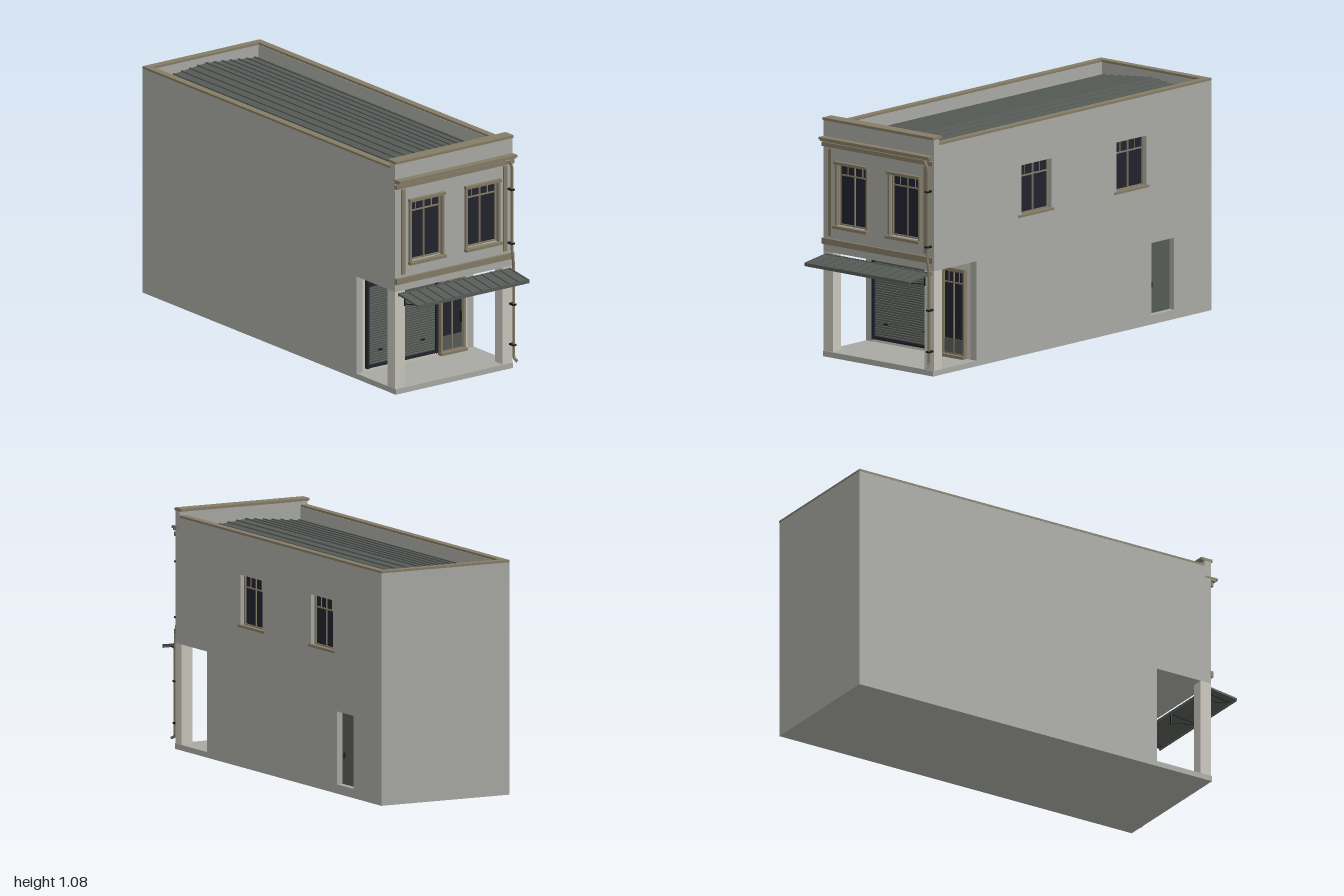
import * as THREE from 'three';

const mat = (name, color) => {
  const m = new THREE.MeshStandardMaterial({ color });
  m.name = name;
  return m;
};

export function createModel() {
  const wall = mat('grey render', 0xa9a9a4);
  const cream = mat('cream plaster', 0xc9c6bc);
  const trim = mat('tan trim', 0x857c66);
  const metal = mat('grey green metal', 0x565b57);
  const glass = mat('dark glass', 0x22222e);
  const black = mat('black iron', 0x1a1a1c);

  const model = new THREE.Group();
  model.name = 'shopHouse';

  const add = (name, geo, material, parent = model) => {
    const m = new THREE.Mesh(geo, material);
    m.name = name;
    parent.add(m);
    return m;
  };
  // Box given by its limits on each axis
  const box = (name, material, x0, x1, y0, y1, z0, z1, parent = model) => {
    const m = add(name, new THREE.BoxGeometry(x1 - x0, y1 - y0, z1 - z0), material, parent);
    m.position.set((x0 + x1) / 2, (y0 + y1) / 2, (z0 + z1) / 2);
    return m;
  };
  const poly = pts => new THREE.Shape(pts.map(p => new THREE.Vector2(...p)));
  const rect = (a0, a1, b0, b1) => [[a0, b0], [a1, b0], [a1, b1], [a0, b1]];
  const extrude = (shape, depth) => new THREE.ExtrudeGeometry(shape, { depth, bevelEnabled: false });

  // Glazed panel facing +z: frame, centre mullion, transom and split top lights
  const glazing = (name, w, h, transom, panel = 0) => {
    const g = new THREE.Group();
    g.name = name;
    const t = 0.006, d = 0.01;
    box('glass', glass, -w / 2, w / 2, 0, h, -0.004, 0.002, g);
    for (const s of [-1, 1]) {
      box('frameSide', trim, s * w / 2 - t, s * w / 2 + t, 0, h, 0, d, g);
      box('topMullion', trim, s * w / 4 - 0.0015, s * w / 4 + 0.0015, transom, h, 0, 0.006, g);
    }
    box('frameBottom', trim, -w / 2, w / 2, 0, t, 0, d, g);
    box('frameTop', trim, -w / 2, w / 2, h - t, h, 0, d, g);
    box('mullion', trim, -0.003, 0.003, 0, h, 0, 0.008, g);
    box('transom', trim, -w / 2, w / 2, transom - 0.003, transom + 0.003, 0, 0.008, g);
    if (panel) box('kickPanel', metal, -w / 2 + t, w / 2 - t, t, panel, 0, 0.007, g);
    model.add(g);
    return g;
  };

  // Main volume, rear wall and plinth
  box('groundFloorCore', wall, -0.29, 0.29, 0, 0.475, -0.965, 0.565);
  box('upperFloorCore', wall, -0.29, 0.29, 0.475, 0.97, -0.965, 0.82);
  box('rearWall', wall, -0.325, 0.325, 0, 1.04, -1, -0.965);
  box('porchFloor', wall, -0.325, 0.325, 0, 0.025, 0.565, 0.86);

  // Side walls, cut back around the open porch; the left one has openings
  const sideWindows = [0.17, -0.465], doorZ = -0.675;
  for (const s of [-1, 1]) {
    const shape = poly([[0.965, 0], [0.965, 1.04], [-0.82, 1.04], [-0.82, 0.475], [-0.57, 0.475], [-0.57, 0]]);
    if (s > 0) {
      for (const z of sideWindows) shape.holes.push(poly(rect(-z - 0.1, -z + 0.1, 0.635, 0.86)));
      shape.holes.push(poly(rect(-doorZ - 0.075, -doorZ + 0.075, 0.042, 0.368)));
    }
    const m = add('sideWall', extrude(shape, 0.035), wall);
    m.rotation.y = Math.PI / 2;
    m.position.x = s > 0 ? 0.29 : -0.325;
    box('porchPillar', cream, s * 0.2975 - 0.0275, s * 0.2975 + 0.0275, 0.025, 0.475, 0.8, 0.855);
    box('sideCoping', trim, s * 0.309 - 0.0165, s * 0.309 + 0.0165, 1.04, 1.05, -1, 0.82);
  }
  box('rearCoping', trim, -0.3255, 0.3255, 1.04, 1.0502, -1, -0.965);
  for (const z of sideWindows) {
    const g = glazing('sideWindow', 0.2, 0.225, 0.17);
    g.rotation.y = Math.PI / 2;
    g.position.set(0.296, 0.635, z);
    box('sideSill', trim, 0.3, 0.329, 0.625, 0.636, z - 0.118, z + 0.118);
  }
  box('sideDoor', metal, 0.288, 0.297, 0.042, 0.368, doorZ - 0.075, doorZ + 0.075);
  box('sideDoorHandle', black, 0.295, 0.306, 0.16, 0.185, -0.629, -0.623);

  // Front upper wall with two window openings
  const facade = poly(rect(-0.325, 0.325, 0.475, 1.07));
  for (const x of [-0.155, 0.155]) facade.holes.push(poly(rect(x - 0.088, x + 0.088, 0.603, 0.88)));
  add('facade', extrude(facade, 0.035), wall).position.z = 0.82;
  for (const x of [-0.155, 0.155]) {
    glazing('frontWindow', 0.176, 0.277, 0.227).position.set(x, 0.603, 0.832);
    box('windowHead', trim, x - 0.098, x + 0.098, 0.88, 0.893, 0.85, 0.873);
    box('windowSill', trim, x - 0.1, x + 0.1, 0.59, 0.603, 0.85, 0.878);
    for (const s of [-1, 1])
      box('windowArchitrave', trim, x + s * 0.09 - 0.005, x + s * 0.09 + 0.005, 0.603, 0.88, 0.85, 0.865);
  }
  for (const x of [-0.283, 0.281]) box('facadeStrip', trim, x - 0.009, x + 0.009, 0.55, 0.945, 0.85, 0.863);
  box('floorBand', trim, -0.325, 0.325, 0.51, 0.537, 0.85, 0.868);
  box('upperBand', trim, -0.325, 0.325, 0.952, 0.971, 0.85, 0.868);
  box('corniceBed', trim, -0.325, 0.325, 0.977, 0.985, 0.85, 0.88);
  box('cornice', trim, -0.325, 0.325, 0.985, 0.996, 0.82, 0.89);
  box('parapetCap', trim, -0.326, 0.326, 1.068, 1.08, 0.803, 0.862);

  // Low gabled roof with raised seams running front to back
  const roofY = x => 1.012 - Math.abs(x) * 0.1;
  const roofPts = [[-0.292, 0.96], [0.292, 0.96], [0.292, roofY(0.292)]];
  for (let i = 6; i >= -6; i--) {
    const x = i * 0.045;
    for (const [dx, dy] of [[0.004, 0], [0.003, 0.005], [-0.003, 0.005], [-0.004, 0]])
      roofPts.push([x + dx, roofY(x + dx) + dy]);
  }
  roofPts.push([-0.292, roofY(0.292)]);
  add('roof', extrude(poly(roofPts), 1.765), metal).position.z = -0.965;

  // Recessed shopfront wall
  box('shopWall', cream, -0.29, 0.29, 0.025, 0.475, 0.56, 0.57);

  // Roller shutter with ridged slats
  const slats = 34, y0 = 0.052, step = (0.42 - y0) / slats;
  const slatPts = [[0, 0.42], [0, y0]];
  for (let i = 0; i < slats; i++) {
    const y = y0 + i * step;
    slatPts.push([0.004, y], [0.009, y + step * 0.3], [0.009, y + step * 0.75], [0.004, y + step * 0.95]);
  }
  slatPts.push([0.004, 0.42]);
  const shutter = add('rollerShutter', extrude(poly(slatPts), 0.375), metal);
  shutter.rotation.y = -Math.PI / 2;
  shutter.position.set(0.107, 0, 0.57);
  box('shutterBottomBar', glass, -0.268, 0.107, 0.04, 0.054, 0.568, 0.583);
  for (const x of [-0.272, 0.111]) box('shutterGuide', glass, x - 0.006, x + 0.006, 0.04, 0.42, 0.568, 0.588);
  box('shutterHousing', glass, -0.278, 0.118, 0.42, 0.45, 0.568, 0.59);
  for (const x of [-0.2, 0.035]) box('shutterHandle', black, x - 0.01, x + 0.01, 0.113, 0.118, 0.575, 0.585);

  // Glazed shop door
  glazing('shopDoor', 0.122, 0.38, 0.325, 0.07).position.set(0.199, 0.037, 0.572);
  for (const x of [0.135, 0.263]) box('doorFrame', trim, x - 0.005, x + 0.005, 0.037, 0.425, 0.565, 0.588);
  box('doorHead', trim, 0.13, 0.268, 0.416, 0.428, 0.565, 0.588);
  box('doorStep', trim, 0.126, 0.27, 0.025, 0.038, 0.565, 0.6);
  box('doorHandle', black, 0.239, 0.244, 0.16, 0.21, 0.578, 0.59);
  box('porchLamp', black, -0.02, 0.02, 0.464, 0.475, 0.715, 0.745);

  // Sloping awning with standing seams, front lip and iron brackets
  const awning = new THREE.Group();
  awning.name = 'awning';
  awning.position.set(0, 0.463, 0.853);
  awning.rotation.x = Math.atan2(0.02, 0.145);
  model.add(awning);
  box('awningSheet', metal, -0.31, 0.31, -0.004, 0, 0, 0.146, awning);
  for (let i = 0; i <= 12; i++) {
    const x = -0.307 + i * 0.614 / 12;
    box('awningSeam', metal, x - 0.0025, x + 0.0025, 0, 0.005, 0, 0.146, awning);
  }
  box('awningLip', metal, -0.31, 0.31, 0.432, 0.447, 0.995, 1);
  box('awningWallRail', metal, -0.31, 0.31, 0.452, 0.466, 0.852, 0.859);
  const rod = (name, pts, r, material) =>
    add(name, new THREE.TubeGeometry(new THREE.CatmullRomCurve3(
      pts.map(p => new THREE.Vector3(...p)), false, 'catmullrom', 0.1), pts.length * 8, r, 8), material);
  for (const x of [-0.272, 0, 0.272]) {
    box('bracketPlate', black, x - 0.003, x + 0.003, 0.402, 0.455, 0.853, 0.858);
    rod('bracketStrut', [[x, 0.41, 0.856], [x, 0.438, 0.993]], 0.0025, black);
    rod('bracketArm', [[x, 0.455, 0.856], [x, 0.438, 0.993]], 0.0025, black);
  }

  // Drainpipe on the front left corner, with clips
  rod('drainpipe', [[0.27, 0.974, 0.876], [0.288, 0.973, 0.877], [0.3, 0.955, 0.877], [0.306, 0.93, 0.877],
    [0.306, 0.74, 0.877], [0.306, 0.56, 0.877], [0.308, 0.53, 0.88], [0.314, 0.48, 0.877],
    [0.315, 0.45, 0.877], [0.315, 0.25, 0.877], [0.315, 0.065, 0.877], [0.315, 0.05, 0.885],
    [0.315, 0.042, 0.908]], 0.0065, trim);
  for (const [x, y] of [[0.306, 0.835], [0.306, 0.585], [0.315, 0.3], [0.315, 0.113]])
    box('pipeClip', black, x - 0.009, x + 0.009, y - 0.004, y + 0.004, 0.852, 0.885);

  return model;
}
